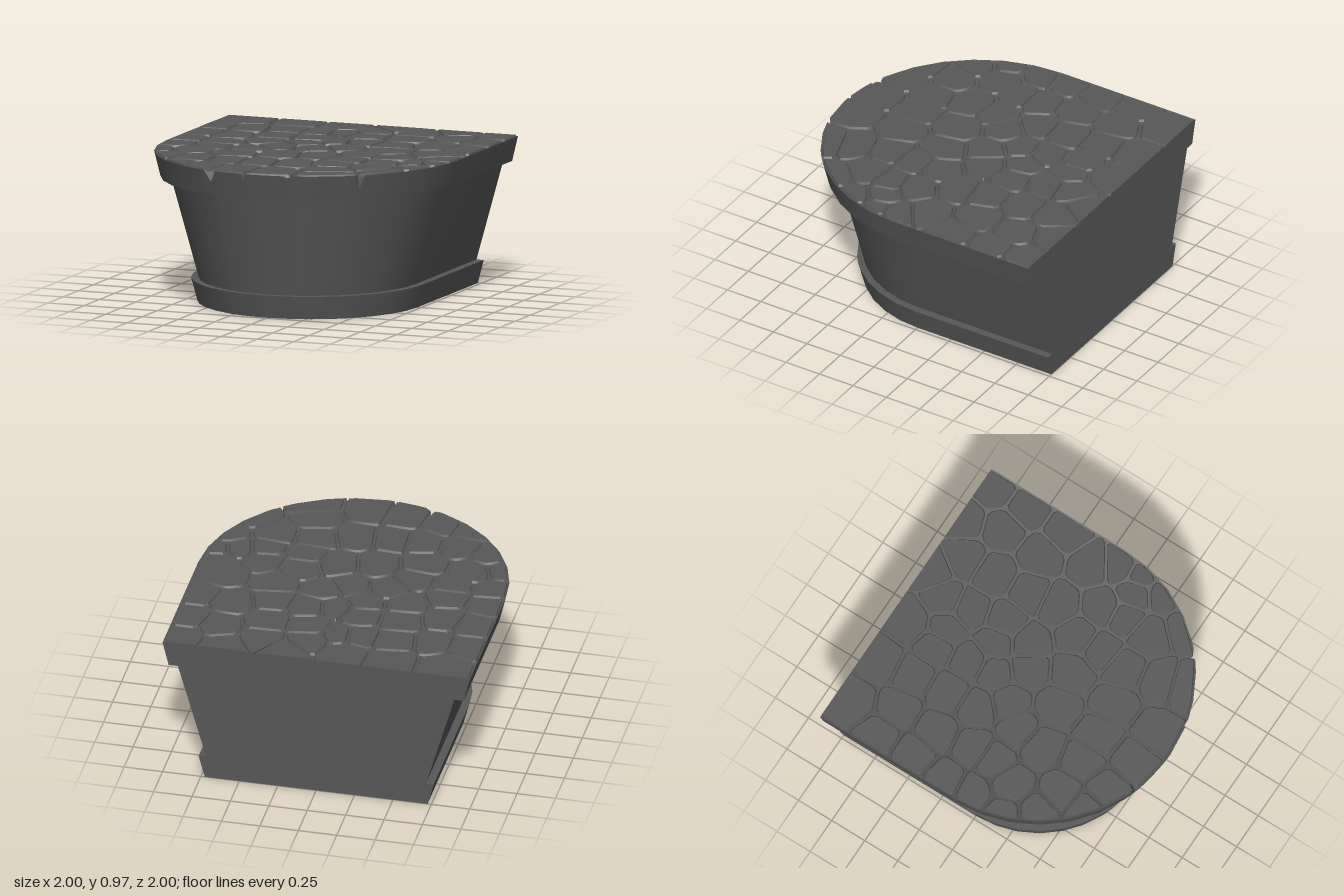
import * as THREE from 'three';
import { mergeGeometries, toCreasedNormals } from 'three/addons/utils/BufferGeometryUtils.js';

// Notches in the front of the rim: centre x, half width, depth
const NOTCHES = [
  [-0.31, 0.045, 0.075], [-0.06, 0.016, 0.05], [0.235, 0.025, 0.09], [0.65, 0.025, 0.09],
];

// Paving stone centres (x, z), row by row from the back
const STONES = [
  [-0.8, -0.88, -0.46, -0.89, -0.15, -0.87, 0.23, -0.94, 0.62, -0.96, 0.9, -0.91],
  [0.1, -0.77, 0.4, -0.82, 0.7, -0.72, -0.89, -0.63, -0.69, -0.62, -0.43, -0.66, -0.2, -0.65,
    -0.06, -0.66, 0.13, -0.6, 0.41, -0.6, 0.9, -0.67],
  [-0.88, -0.37, -0.68, -0.33, -0.41, -0.41, -0.16, -0.41, 0.03, -0.34, 0.19, -0.37, 0.43, -0.34,
    0.68, -0.42, 0.9, -0.37],
  [-0.92, -0.1, -0.64, -0.07, -0.4, -0.2, -0.14, -0.24, 0.14, -0.16, 0.46, -0.15, 0.8, -0.12,
    -0.26, -0.05, 0, -0.07],
  [-0.9, 0.08, -0.64, 0.08, -0.38, 0.1, 0.9, 0.04, 0.35, 0.07, 0.6, 0.1, 0.92, 0.19, 0.13, 0.17, -0.12, 0.22],
  [-0.72, 0.26, -0.4, 0.28, -0.92, 0.33, 0.35, 0.25, 0.62, 0.26, 0.79, 0.22, 0.89, 0.37],
  [-0.8, 0.5, -0.58, 0.56, -0.34, 0.56, -0.14, 0.55, 0.09, 0.52, 0.33, 0.44, 0.6, 0.44, 0.78, 0.62],
  [0.38, 0.68, 0.43, 0.83, -0.6, 0.75, -0.42, 0.78, -0.16, 0.82, 0.08, 0.84],
];

// Angles round the curved front, with three extra points at every notch
function frontAngles() {
  const list = [];
  for (let i = 0; i <= 16; i++) list.push({ t: (i / 16) * Math.PI, depth: 0 });
  for (const [x, half, depth] of NOTCHES) {
    const t = Math.acos(x);
    const w = half / Math.sin(t);
    for (let i = list.length - 1; i >= 0; i--) {
      if (Math.abs(list[i].t - t) < w + 0.02) list.splice(i, 1);
    }
    list.push({ t: t + w, depth: 0 }, { t, depth }, { t: t - w, depth: 0 });
  }
  return list.sort((a, b) => a.t - b.t);
}
const ANGLES = frontAngles();

// D-shaped cross-section: flat back at z = -1, straight sides, round front
function ring(y, rx, rz, notch = null) {
  const pts = [new THREE.Vector3(rx, y, -1)];
  for (const { t, depth } of ANGLES) {
    let s = 1, py = y;
    if (notch && depth) {
      s = notch === 'outer' ? 1 - depth * 0.25 : 0.945;
      if (notch === 'outer') py -= depth;
    }
    pts.push(new THREE.Vector3(rx * s * Math.cos(t), py, rz * s * Math.sin(t)));
  }
  pts.push(new THREE.Vector3(-rx, y, -1));
  return pts;
}

function centre(pts) {
  const c = new THREE.Vector3();
  pts.forEach((p) => c.add(p));
  return c.divideScalar(pts.length);
}

// Skin a stack of cross-sections and cap both ends
function loft(rings) {
  const pos = [];
  const tri = (...ps) => ps.forEach((p) => pos.push(p.x, p.y, p.z));
  const n = rings[0].length;
  const bottom = rings[0], top = rings[rings.length - 1];
  const cb = centre(bottom), ct = centre(top);
  for (let i = 0; i < n; i++) {
    const j = (i + 1) % n;
    for (let k = 0; k + 1 < rings.length; k++) {
      const a = rings[k], b = rings[k + 1];
      tri(a[i], b[i], a[j]);
      tri(a[j], b[i], b[j]);
    }
    tri(cb, bottom[i], bottom[j]);
    tri(ct, top[j], top[i]);
  }
  const g = new THREE.BufferGeometry();
  g.setAttribute('position', new THREE.Float32BufferAttribute(pos, 3));
  return toCreasedNormals(g, 0.5);
}

// Keep the part of a polygon where n . p <= d
function clip(poly, n, d) {
  const out = [];
  poly.forEach((p, i) => {
    const q = poly[(i + 1) % poly.length];
    const a = n.dot(p) - d, b = n.dot(q) - d;
    if (a <= 0) out.push(p);
    if (a * b < 0) out.push(p.clone().lerp(q, a / (a - b)));
  });
  return out;
}

// Cut off the sharp corners of a stone
function trimCorners(poly, size) {
  const out = [];
  poly.forEach((p, i) => {
    const prev = poly[(i + poly.length - 1) % poly.length];
    const next = poly[(i + 1) % poly.length];
    const u = prev.clone().sub(p), v = next.clone().sub(p);
    const lu = u.length(), lv = v.length();
    if (p.z < -0.99 || u.dot(v) / (lu * lv) < -0.8) out.push(p);
    else {
      out.push(p.clone().addScaledVector(u, Math.min(size / lu, 0.3)));
      out.push(p.clone().addScaledVector(v, Math.min(size / lv, 0.3)));
    }
  });
  return out;
}

// Paving: each stone is the area nearest to its centre, with a gap and a chamfered top
function pavingGeometry() {
  const seeds = [];
  for (const row of STONES) {
    for (let i = 0; i < row.length; i += 2) seeds.push(new THREE.Vector3(row[i], 0, row[i + 1]));
  }
  const outline = ring(0, 0.992, 0.988);
  const geos = [];
  for (const s of seeds) {
    let poly = outline;
    for (const o of seeds) {
      if (o === s) continue;
      const n = o.clone().sub(s).normalize();
      const mid = s.clone().add(o).multiplyScalar(0.5);
      poly = clip(poly, n, n.dot(mid) - 0.006);
    }
    if (poly.length < 3) continue;
    poly = trimCorners(poly, 0.022);
    const c = centre(poly);
    const lower = poly.map((p) => p.clone().setY(0.952));
    const upper = poly.map((p) => {
      const q = p.clone().lerp(c, Math.min(0.011 / p.distanceTo(c), 0.4)).setY(0.97);
      if (p.z < -0.99) q.z = -1;
      return q;
    });
    geos.push(loft([lower, upper]));
  }
  return mergeGeometries(geos);
}

export function createModel() {
  const stone = new THREE.MeshStandardMaterial({ color: 0x575757 });
  stone.name = 'darkStone';
  const group = new THREE.Group();
  group.name = 'stoneBalcony';
  const add = (name, geometry) => {
    const mesh = new THREE.Mesh(geometry, stone);
    mesh.name = name;
    group.add(mesh);
  };

  add('basePlinth', loft([ring(0, 0.725, 0.73), ring(0.15, 0.765, 0.77)]));
  add('taperedBody', loft([ring(0.15, 0.715, 0.73), ring(0.8, 0.9, 0.87)]));
  add('rim', loft([
    ring(0.8, 0.96, 0.96),
    ring(0.962, 1, 1, 'outer'),
    ring(0.956, 0.985, 0.98, 'inner'),
  ]));
  add('pavingStones', pavingGeometry());
  return group;
}
